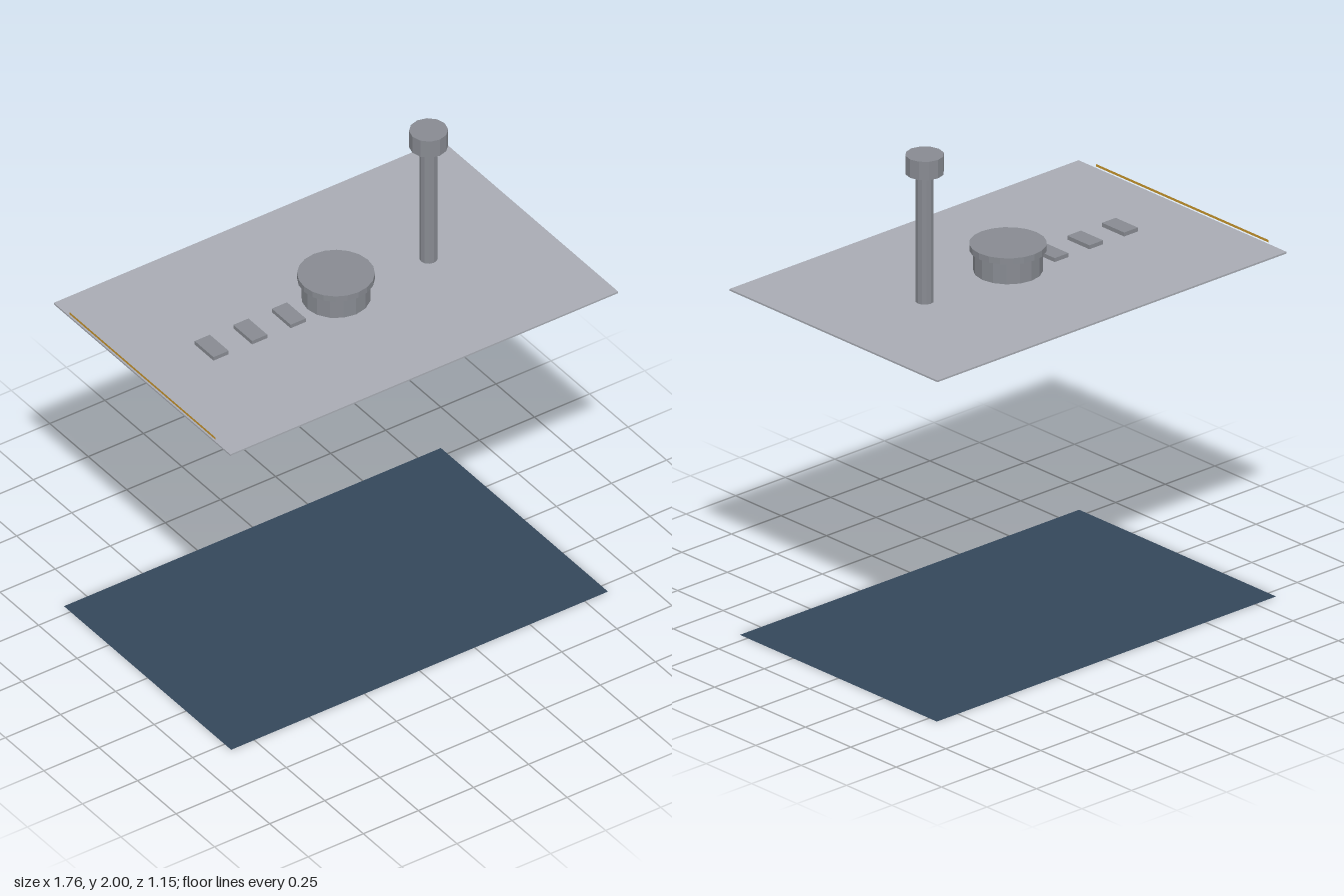
import * as THREE from 'three';

const paint = (name, color, extra = {}) => {
  const m = new THREE.MeshStandardMaterial({ color, ...extra });
  m.name = name;
  return m;
};

export function createModel() {
  const model = new THREE.Group();
  model.name = 'deckModel';

  const paleGrey = paint('paleGrey', 0xa9acb4);
  const midGrey = paint('midGrey', 0x888b92, { flatShading: true });
  const darkBlue = paint('darkBlue', 0x34475a, { side: THREE.DoubleSide });
  const gold = paint('gold', 0xc8962e, { side: THREE.DoubleSide });

  const add = (name, geometry, material, x, y, z, parent = model) => {
    const mesh = new THREE.Mesh(geometry, material);
    mesh.name = name;
    mesh.position.set(x, y, z);
    parent.add(mesh);
    return mesh;
  };

  // upright cylinder given by its bottom and top heights
  const drum = (name, radius, y0, y1, sides, x, parent) =>
    add(name, new THREE.CylinderGeometry(radius, radius, y1 - y0, sides), midGrey, x, (y0 + y1) / 2, 0, parent);

  // bottom sheet on the ground
  add('bottomSheet', new THREE.PlaneGeometry(1.71, 1.085).rotateX(-Math.PI / 2), darkBlue, 0, 0, 0);

  // thin raised deck
  add('deck', new THREE.BoxGeometry(1.76, 0.007, 1.146), paleGrey, 0, 1.3995, 0);

  // round hatch with an overhanging lid
  const hatch = new THREE.Group();
  hatch.name = 'hatch';
  drum('hatchBody', 0.13, 1.4, 1.49, 16, 0, hatch);
  drum('hatchLid', 0.145, 1.49, 1.515, 20, 0, hatch);
  model.add(hatch);

  // tall post with a wide cap
  const post = new THREE.Group();
  post.name = 'post';
  drum('postShaft', 0.034, 1.4, 1.925, 12, 0.42, post);
  drum('postCap', 0.073, 1.925, 2, 12, 0.42, post);
  model.add(post);

  // row of small blocks
  for (let i = 0; i < 3; i++) {
    add('block' + (i + 1), new THREE.BoxGeometry(0.069, 0.018, 0.122), midGrey, -0.564 + i * 0.175, 1.41, 0);
  }

  // upright gold strip along one end
  add('goldStrip', new THREE.PlaneGeometry(0.95, 0.01).rotateY(-Math.PI / 2), gold, -0.878, 1.415, 0);

  return model;
}
